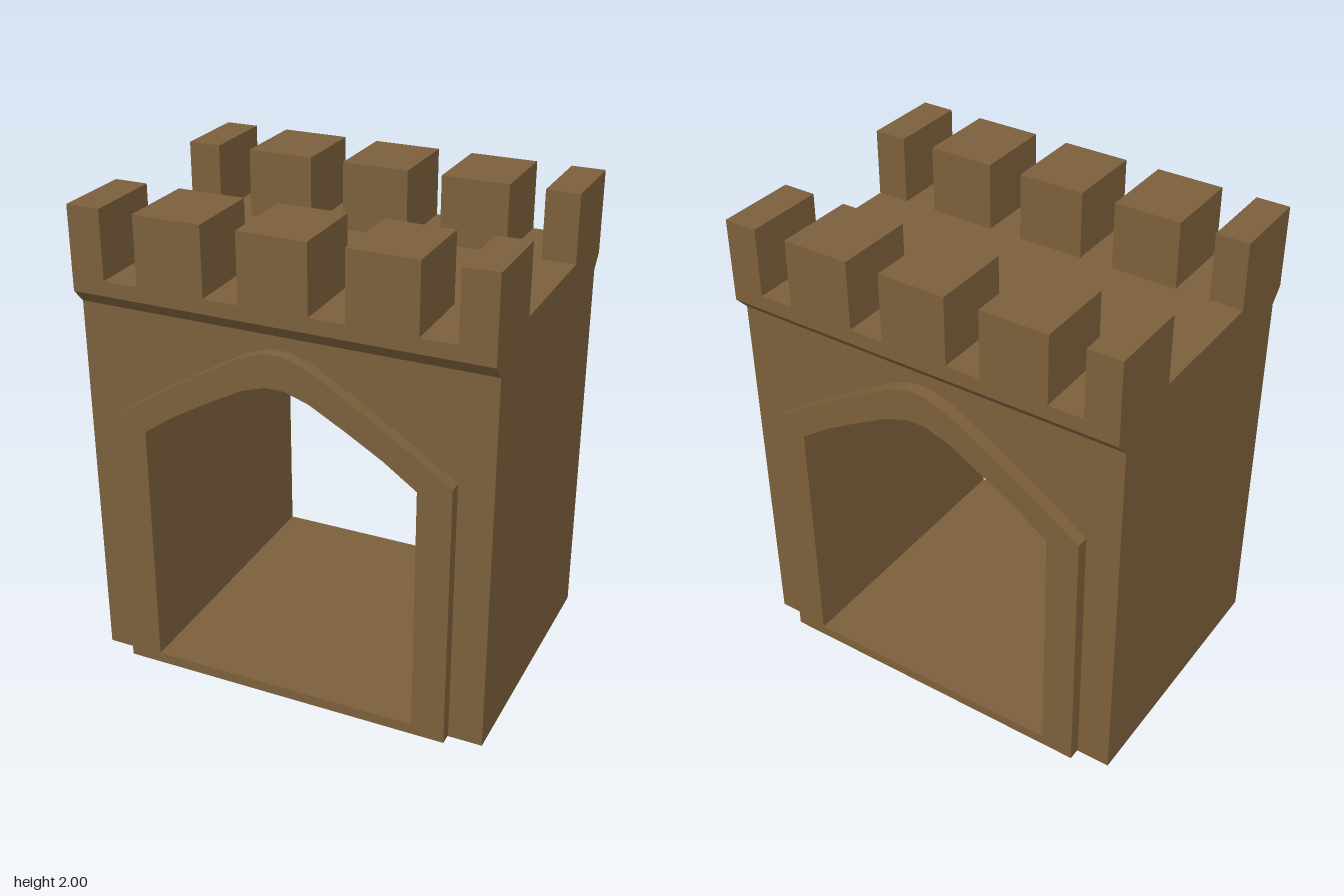
import * as THREE from 'three';
import { toCreasedNormals } from 'three/addons/utils/BufferGeometryUtils.js';

const W = 0.855;        // half width
const WALL = 0.575;     // half depth of the wall
const OUT = 0.628;      // half depth of parapet and arch frame
const CORNICE = 1.595;  // height where the parapet flares out
const ROOF = 1.715;

// Half arch on the +x side from springing to crown, mirrored to a closed outline
function archPoints(half, bottom) {
  const right = half.map(([x, y]) => new THREE.Vector2(x, y));
  const left = half.map(([x, y]) => new THREE.Vector2(-x, y)).reverse();
  const w = half[0][0];
  return [new THREE.Vector2(-w, bottom), new THREE.Vector2(w, bottom), ...right, ...left];
}

function extrude(shape, depth) {
  const g = new THREE.ExtrudeGeometry(shape, { depth, bevelEnabled: false });
  return toCreasedNormals(g, 0.5);
}

export function createModel() {
  const group = new THREE.Group();
  const stone = new THREE.MeshStandardMaterial({ color: 0x7b5f3b });
  stone.name = 'brown stone';

  const add = (name, geometry, x = 0, y = 0, z = 0) => {
    const mesh = new THREE.Mesh(geometry, stone);
    mesh.name = name;
    mesh.position.set(x, y, z);
    group.add(mesh);
    return mesh;
  };

  const inner = archPoints(
    [[0.575, 1.105], [0.44, 1.2], [0.29, 1.288], [0.14, 1.37], [0.04, 1.403]], 0.05);
  const outer = archPoints(
    [[0.713, 1.145], [0.54, 1.262], [0.29, 1.418], [0.14, 1.505], [0.04, 1.54]], 0.005);

  // Gatehouse wall with the passage cut through it
  const wall = new THREE.Shape([
    new THREE.Vector2(-W, 0), new THREE.Vector2(W, 0),
    new THREE.Vector2(W, CORNICE), new THREE.Vector2(-W, CORNICE),
  ]);
  wall.holes.push(new THREE.Path(inner));
  add('gatehouseWall', extrude(wall, WALL * 2), 0, 0, -WALL);

  // Raised arch frames on both ends of the passage
  const frame = new THREE.Shape(outer);
  frame.holes.push(new THREE.Path(inner));
  const frameGeometry = extrude(frame, OUT - WALL);
  add('frontArchFrame', frameGeometry, 0, 0, WALL);
  add('backArchFrame', frameGeometry, 0, 0, -OUT);

  // Flared parapet and roof slab, profile swept across the width
  const parapet = new THREE.Shape([
    [-WALL, CORNICE], [WALL, CORNICE], [OUT, 1.653],
    [OUT, ROOF], [-OUT, ROOF], [-OUT, 1.653],
  ].map(([z, y]) => new THREE.Vector2(z, y)));
  add('parapet', extrude(parapet, W * 2), -W, 0, 0).rotation.y = Math.PI / 2;
  // After the turn the profile's x axis runs along -z; it is symmetrical

  // Battlements: corner merlons are half width
  const innerZ = 0.288;
  const spans = [[-W, -0.715], [-0.57, -0.287], [-0.142, 0.142], [0.287, 0.57], [0.715, W]];
  for (const side of [1, -1]) {
    for (const [x0, x1] of spans) {
      const box = new THREE.BoxGeometry(x1 - x0, 2 - ROOF, OUT - innerZ);
      add(side > 0 ? 'frontMerlon' : 'backMerlon', box,
        (x0 + x1) / 2, (2 + ROOF) / 2, side * (OUT + innerZ) / 2);
    }
  }
  return group;
}
